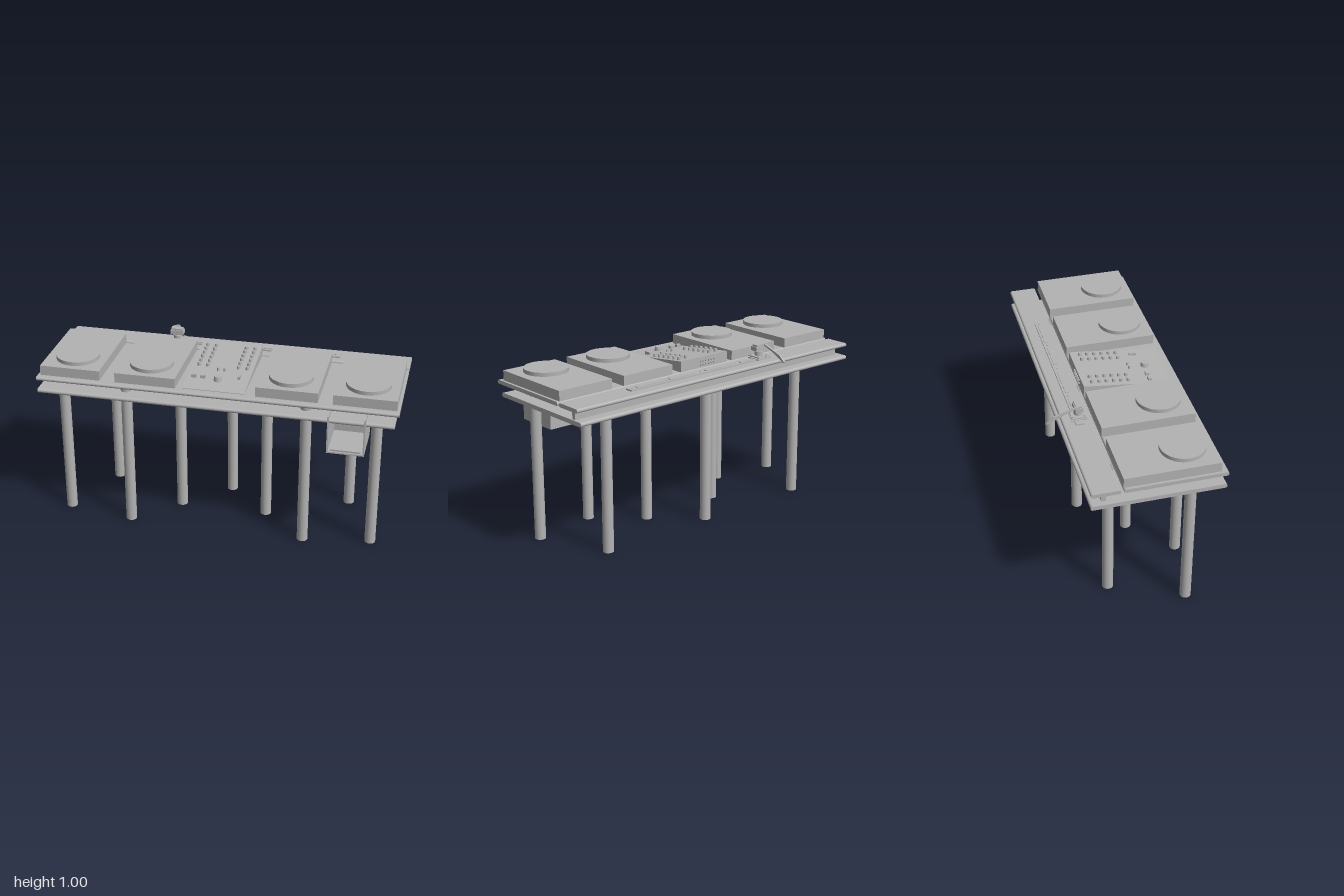
import * as THREE from 'three';

const grey = new THREE.MeshStandardMaterial({ color: 0xb3b3b3 });
grey.name = 'plain grey';

export function createModel() {
  const root = new THREE.Group();
  root.name = 'djTable';

  const add = (name, geo, x = 0, y = 0, z = 0, parent = root) => {
    const m = new THREE.Mesh(geo, grey);
    m.name = name;
    m.position.set(x, y, z);
    parent.add(m);
    return m;
  };
  // box from min/max limits
  const box = (name, x0, x1, y0, y1, z0, z1, parent = root) =>
    add(name, new THREE.BoxGeometry(x1 - x0, y1 - y0, z1 - z0),
      (x0 + x1) / 2, (y0 + y1) / 2, (z0 + z1) / 2, parent);
  // upright cylinder from base to top
  const post = (name, x, z, y0, y1, r, parent = root, rTop = r, seg = 24) =>
    add(name, new THREE.CylinderGeometry(rTop, r, y1 - y0, seg), x, (y0 + y1) / 2, z, parent);
  // extrude a side outline of [z, y] points along x
  const sidePlate = (name, shape, x0, x1, parent = root) => {
    const g = new THREE.ExtrudeGeometry(shape, { depth: x1 - x0, bevelEnabled: false, curveSegments: 10 });
    g.rotateY(-Math.PI / 2);
    return add(name, g, x1, 0, 0, parent);
  };
  const outline = pts => new THREE.Shape(pts.map(p => new THREE.Vector2(p[0], p[1])));

  // table boards with rounded long edges
  const board = (name, x0, x1, y0, y1, z0, z1) => {
    const r = (y1 - y0) / 2, s = new THREE.Shape();
    s.moveTo(z0 + r, y0);
    s.lineTo(z1 - r, y0);
    s.absarc(z1 - r, y0 + r, r, -Math.PI / 2, Math.PI / 2, false);
    s.lineTo(z0 + r, y1);
    s.absarc(z0 + r, y0 + r, r, Math.PI / 2, Math.PI * 1.5, false);
    sidePlate(name, s, x0, x1);
  };
  board('frontTop', -1, 1, 0.89, 0.912, -0.155, 0.396);
  board('rearTop', -1, 1, 0.89, 0.912, -0.325, -0.17);
  board('lowerShelf', -1, 0.98, 0.812, 0.836, -0.327, 0.39);
  box('rearSpacer', -0.97, 0.97, 0.836, 0.89, -0.265, -0.241);

  // legs
  [[-0.9, 0.23], [-0.725, -0.165], [-0.515, 0.29], [-0.265, 0.065], [-0.01, -0.165],
    [0.24, 0.065], [0.495, 0.29], [0.7, -0.165], [0.875, 0.23]]
    .forEach(([x, z]) => post('leg', x, z, 0, 0.89, 0.031));
  // short posts between the boards
  [[-0.725, -0.036], [0.7, -0.036], [-0.265, 0.09], [0.24, 0.09]]
    .forEach(([x, z]) => post('shelfPost', x, z, 0.836, 0.89, 0.033));

  // four players with platters
  for (const x of [-0.815, -0.388, 0.395, 0.815]) {
    const deck = new THREE.Group();
    deck.name = 'deck';
    root.add(deck);
    box('deckBody', x - 0.17, x + 0.17, 0.912, 0.968, -0.154, 0.36, deck);
    post('platter', x, 0.203, 0.968, 0.99, 0.122, deck, 0.122, 48);
  }

  // mixer: wedge body sloping down to the front
  const mixer = new THREE.Group();
  mixer.name = 'mixer';
  root.add(mixer);
  sidePlate('mixerBody', outline([[-0.154, 0.912], [0.35, 0.912], [0.35, 0.915], [-0.154, 0.974]]), -0.18, 0.165, mixer);
  const slopeY = z => 0.915 + (0.35 - z) * 0.117;
  const knob = (name, x, z, r, h) => post(name, x, z, slopeY(z) - 0.003, slopeY(z) + h, r, mixer, r * 0.85, 14);
  for (const x of [-0.142, -0.092, 0.082, 0.132]) {
    for (let i = 0; i < 6; i++) knob('knob', x, -0.1 + i * 0.0415, 0.011, 0.018);
  }
  knob('mainKnob', -0.005, 0.24, 0.024, 0.024);
  for (const x of [-0.025, 0.012]) knob('smallKnob', x, 0.145, 0.007, 0.018);
  const cap = (name, x, z, w, d) => box(name, x - w / 2, x + w / 2, slopeY(z) - 0.004, slopeY(z) + 0.016, z - d / 2, z + d / 2, mixer);
  cap('faderCap', -0.142, 0.228, 0.028, 0.02);
  cap('faderCap', -0.092, 0.228, 0.028, 0.02);
  cap('slider', 0.107, 0.2, 0.012, 0.04);
  // rear sockets
  for (let i = 0; i < 6; i++) {
    for (const y of [0.93, 0.95]) {
      const s = add('socket', new THREE.CylinderGeometry(0.006, 0.006, 0.01, 10), -0.08 + i * 0.02, y, -0.157, mixer);
      s.rotation.x = Math.PI / 2;
    }
  }

  // rail on the rear board
  const rail = new THREE.Group();
  rail.name = 'rail';
  root.add(rail);
  box('railBase', -0.43, 0.6, 0.912, 0.92, -0.26, -0.215, rail);
  for (const [a, b] of [[-0.3, -0.2], [-0.14, 0.06], [0.14, 0.32], [0.37, 0.55]]) {
    box('railInsert', a, b, 0.92, 0.924, -0.248, -0.228, rail);
  }
  for (const x of [-0.17, 0.1, 0.345, 0.575]) post('screw', x, -0.238, 0.92, 0.924, 0.005, rail, 0.005, 10);

  // tone arm on its carriage
  const arm = new THREE.Group();
  arm.name = 'swingArm';
  root.add(arm);
  const ax = -0.355, az = -0.232;
  box('carriage', ax - 0.042, ax + 0.042, 0.917, 0.923, az - 0.043, az + 0.043, arm);
  box('carriageTop', ax - 0.042, ax + 0.042, 0.929, 0.935, az - 0.041, az + 0.041, arm);
  for (const sx of [-1, 1]) for (const sz of [-1, 1]) {
    post('carriageBolt', ax + sx * 0.03, az + sz * 0.03, 0.913, 0.939, 0.006, arm, 0.006, 10);
  }
  post('pivotBase', ax, az, 0.935, 0.958, 0.022, arm);
  post('pivotNeck', ax, az, 0.955, 0.968, 0.014, arm);
  box('pivotHead', ax - 0.038, ax + 0.038, 0.966, 0.99, az - 0.022, az + 0.022, arm);
  box('pivotCap', ax - 0.032, ax + 0.032, 0.99, 1, az - 0.017, az + 0.017, arm);
  sidePlate('armBar', outline([[-0.235, 0.992], [-0.25, 0.991], [-0.315, 0.965], [-0.36, 0.942], [-0.405, 0.918],
    [-0.411, 0.924], [-0.372, 0.957], [-0.315, 0.977], [-0.25, 0.999], [-0.235, 1]]), -0.392, -0.38, arm);

  // open-fronted bin hooked over the lower shelf
  const bin = new THREE.Group();
  bin.name = 'hangingBin';
  root.add(bin);
  const hook = outline([[0.157, 0.647], [0.413, 0.647], [0.413, 0.864], [0.157, 0.864], [0.157, 0.843],
    [0.393, 0.843], [0.393, 0.81], [0.157, 0.81]]);
  sidePlate('binSide', hook, 0.626, 0.634, bin);
  sidePlate('binSide', hook, 0.822, 0.83, bin);
  box('binFloor', 0.634, 0.822, 0.647, 0.655, 0.157, 0.413, bin);
  box('binBack', 0.634, 0.822, 0.655, 0.81, 0.157, 0.165, bin);
  box('binLip', 0.645, 0.81, 0.655, 0.665, 0.395, 0.403, bin);

  return root;
}
